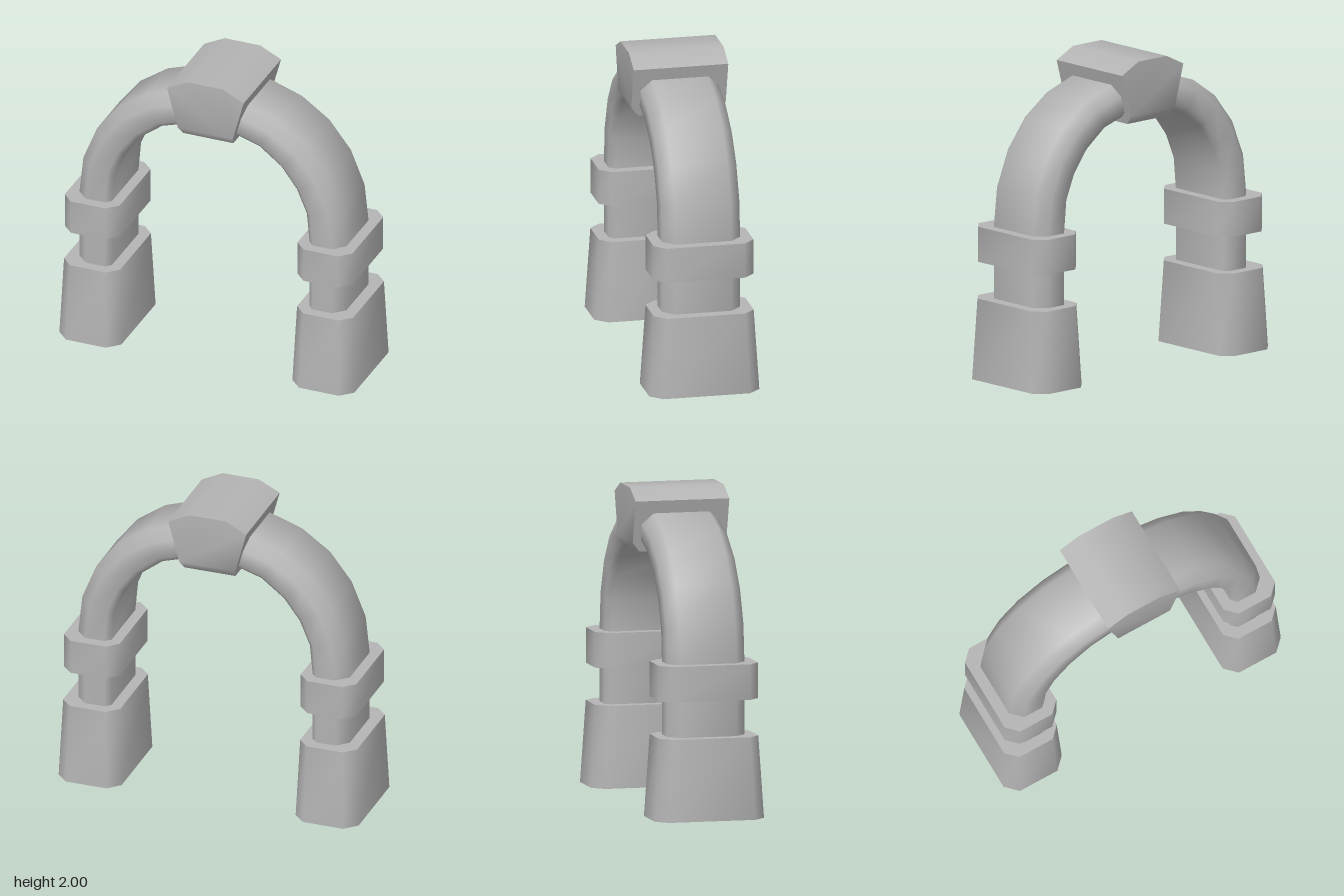
import * as THREE from 'three';
import { toCreasedNormals } from 'three/addons/utils/BufferGeometryUtils.js';

// Skin a row of equal-length rings (counter-clockwise about the path) and cap both ends
function loft(rings, crease = 0.87) {
  const pos = [];
  const tri = (a, b, c) => pos.push(...a, ...b, ...c);
  const n = rings[0].length;
  for (let i = 0; i < rings.length - 1; i++) {
    for (let j = 0; j < n; j++) {
      const k = (j + 1) % n;
      const a = rings[i][j], b = rings[i][k], c = rings[i + 1][k], d = rings[i + 1][j];
      tri(a, b, c);
      tri(a, c, d);
    }
  }
  const first = rings[0], last = rings[rings.length - 1];
  for (let j = 1; j < n - 1; j++) {
    tri(first[0], first[j + 1], first[j]);
    tri(last[0], last[j], last[j + 1]);
  }
  const geo = new THREE.BufferGeometry();
  geo.setAttribute('position', new THREE.Float32BufferAttribute(pos, 3));
  return toCreasedNormals(geo, crease);
}

// Rectangle with cut corners, spanning from an inner to an outer point and +-depth in z
function section([ix, iy], [ox, oy], depth, cutOut, cutIn = cutOut) {
  const len = Math.hypot(ox - ix, oy - iy);
  const dx = (ox - ix) / len, dy = (oy - iy) / len;
  const half = [[0, depth - cutIn], [cutIn, depth], [len - cutOut, depth], [len, depth - cutOut]];
  const back = half.map(([s, z]) => [s, -z]).reverse();
  return [...half, ...back].map(([s, z]) => [ix + dx * s, iy + dy * s, z]);
}

export function createModel() {
  const model = new THREE.Group();
  const stone = new THREE.MeshStandardMaterial({ color: 0xb4b4b4 });
  stone.name = 'grey stone';
  const add = (geo, name) => {
    const mesh = new THREE.Mesh(geo, stone);
    mesh.name = name;
    model.add(mesh);
    return mesh;
  };

  // Arch with its two shafts: [inner point, outer point] from the leg to the crown
  const side = [
    [[0.67, 0.48], [0.905, 0.48]],
    [[0.67, 0.98], [0.905, 0.98]],
    [[0.652, 1.18], [0.878, 1.23]],
    [[0.585, 1.34], [0.785, 1.46]],
    [[0.48, 1.48], [0.64, 1.645]],
    [[0.33, 1.595], [0.455, 1.775]],
    [[0.17, 1.645], [0.235, 1.85]],
  ];
  const mirrored = side.map(pair => pair.map(([x, y]) => [-x, y])).reverse();
  const path = [...side, [[0, 1.66], [0, 1.88]], ...mirrored];
  add(loft(path.map(([inner, outer]) => section(inner, outer, 0.25, 0.07, 0.035))), 'arch');

  // Tapered plinth and collar on each leg
  const plinth = loft([
    section([0.58, 0], [1, 0], 0.353, 0.075),
    section([0.6, 0.52], [0.98, 0.52], 0.32, 0.07),
  ]);
  const collar = loft([
    section([0.603, 0.755], [0.975, 0.755], 0.32, 0.07),
    section([0.603, 0.98], [0.975, 0.98], 0.32, 0.07),
  ]);
  for (const [label, turn] of [['left', 0], ['right', Math.PI]]) {
    add(plinth, label + ' plinth').rotation.y = turn;
    add(collar, label + ' collar').rotation.y = turn;
  }

  // Keystone wedge with its lower front and back edges cut away
  const wedge = (z, bottom) => {
    const x = 0.17 + (bottom - 1.6) * 0.273;
    return [[x, bottom], [0.26, 1.93], [0.12, 2], [-0.12, 2], [-0.26, 1.93], [-x, bottom]]
      .map(([px, py]) => [px, py, z]);
  };
  add(loft([wedge(-0.303, 1.66), wedge(-0.255, 1.6), wedge(0.255, 1.6), wedge(0.303, 1.66)]), 'keystone');

  return model;
}
